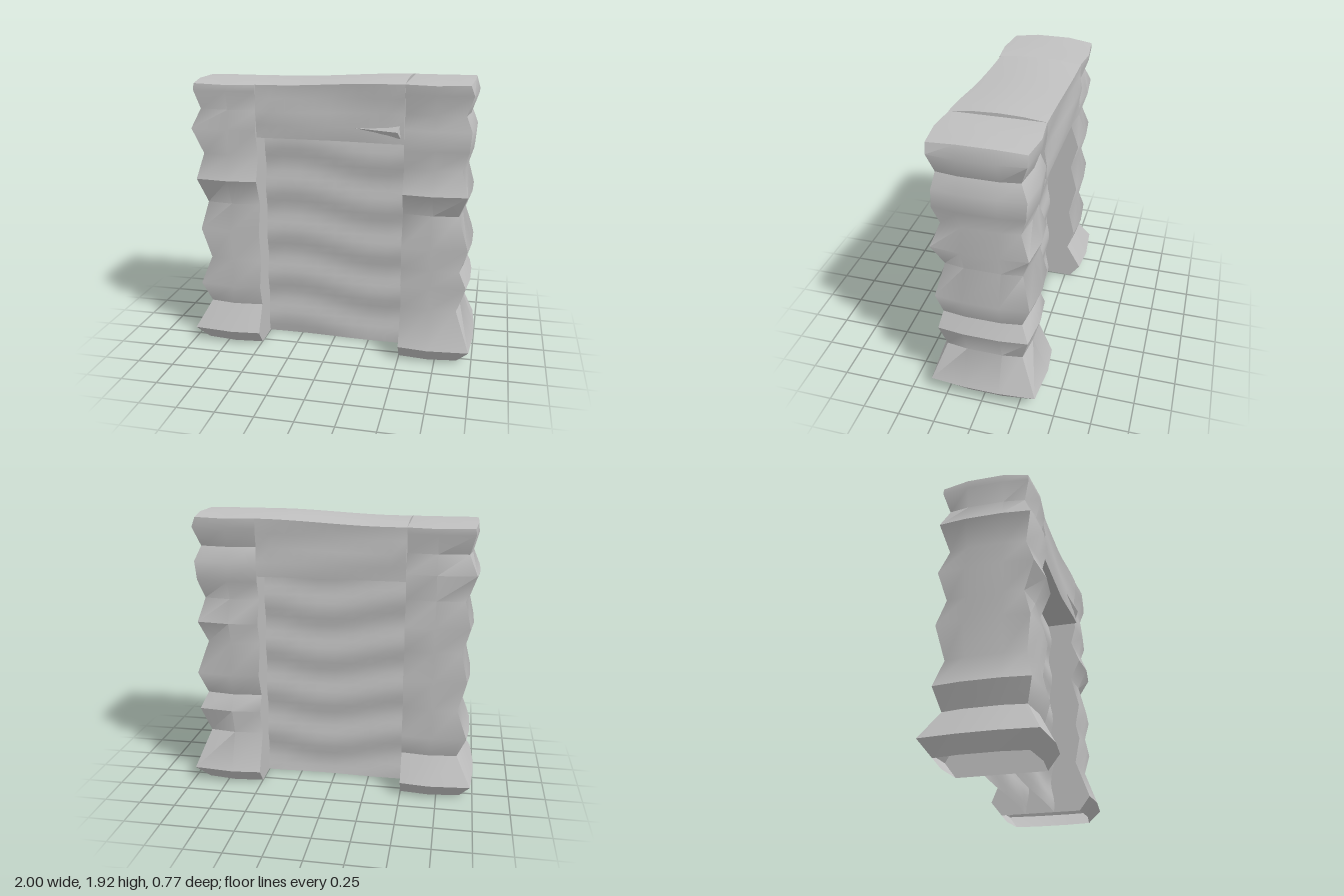
import * as THREE from 'three';
import { toCreasedNormals } from 'three/addons/utils/BufferGeometryUtils.js';

const CREASE = 0.7;

// gently sloping, crowned top of the wall
const topY = (x, z) =>
  1.883 + 0.035 * THREE.MathUtils.smoothstep(x, -0.4, 0.5) - 0.022 * (z / 0.3) ** 2;

// each level: height, outer x, front z, back z
const LEFT_LEVELS = [
  [0, 0.92, 0.31, -0.31], [0.1, 1, 0.385, -0.39], [0.36, 0.9, 0.29, -0.28],
  [0.54, 0.96, 0.325, -0.33], [0.65, 0.91, 0.3, -0.28], [0.81, 0.96, 0.33, -0.34],
  [1.03, 0.89, 0.275, -0.28], [1.18, 0.945, 0.345, -0.33], [1.34, 0.9, 0.285, -0.27],
  [1.47, 0.94, 0.32, -0.31], [1.6, 0.95, 0.31, -0.32], [1.7, 0.91, 0.29, -0.275],
  [1.83, 0.955, 0.325, -0.32], [1.88, 0.93, 0.33, -0.32],
];
const RIGHT_LEVELS = [
  [0, 0.93, 0.31, -0.31], [0.1, 1, 0.385, -0.385], [0.285, 0.9, 0.29, -0.28],
  [0.43, 0.96, 0.33, -0.325], [0.62, 0.89, 0.285, -0.28], [0.84, 0.945, 0.32, -0.33],
  [1.03, 0.9, 0.27, -0.28], [1.21, 0.95, 0.345, -0.33], [1.38, 0.91, 0.285, -0.27],
  [1.56, 0.975, 0.33, -0.325], [1.69, 0.92, 0.28, -0.275], [1.82, 0.955, 0.315, -0.32],
  [1.88, 0.95, 0.31, -0.32],
];

// rough stone pillar, open underneath, lofted from its levels
function pillarGeometry(levels, side) {
  const pos = [], idx = [], n = 8;
  levels.forEach(([y, x, f, b], i) => {
    const ring = [
      [0.5, f - 0.02], [0.7, f], [x - 0.02, f - 0.025], [x, 0.12],
      [x, -0.12], [x - 0.02, b + 0.025], [0.7, b], [0.5, b + 0.02],
    ].map(([px, pz]) => [px * side, pz]);
    if (side < 0) ring.reverse();
    const last = i === levels.length - 1;
    ring.forEach(([px, pz]) => pos.push(px, last ? topY(px, pz) : y, pz));
  });
  for (let i = 0; i < levels.length - 1; i++) {
    for (let j = 0; j < n; j++) {
      const a = i * n + j, b = i * n + (j + 1) % n;
      idx.push(a, b, b + n, a, b + n, a + n);
    }
  }
  // top cap
  const c = pos.length / 3, base = (levels.length - 1) * n;
  pos.push(0.72 * side, topY(0.72 * side, 0), 0);
  for (let j = 0; j < n; j++) idx.push(base + j, base + (j + 1) % n, c);
  const g = new THREE.BufferGeometry();
  g.setAttribute('position', new THREE.Float32BufferAttribute(pos, 3));
  g.setIndex(idx);
  return toCreasedNormals(g, CREASE);
}

// move every vertex of a geometry by a rule
function reshape(g, rule) {
  const p = g.attributes.position, v = new THREE.Vector3();
  for (let i = 0; i < p.count; i++) {
    v.fromBufferAttribute(p, i);
    rule(v);
    p.setXYZ(i, v.x, v.y, v.z);
  }
  g.deleteAttribute('uv');
  return toCreasedNormals(g, CREASE);
}

// beam between the pillars, with slightly uneven faces
function lintelGeometry() {
  return reshape(new THREE.BoxGeometry(1, 1, 1, 10, 4, 4), (v) => {
    const t = v.y + 0.5;
    const front = 0.283 + 0.03 * THREE.MathUtils.smoothstep(v.x, 0, 0.5);
    const half = v.z > 0 ? front : 0.302;
    const wave = 1 + 0.05 * Math.sin(t * Math.PI * 2 + v.x * 3) * Math.sin(t * Math.PI);
    v.z *= 2 * half * wave;
    v.y = THREE.MathUtils.lerp(1.51, topY(v.x, v.z), t);
  });
}

// recessed wall face with shallow horizontal ripples
function panelGeometry(phase) {
  return reshape(new THREE.PlaneGeometry(1, 1.51, 8, 28), (v) => {
    v.y += 0.755;
    v.z = 0.095 + 0.012 * Math.sin(v.y * 19 + phase + Math.sin(v.x * 5 + phase));
  });
}

// low chipped wedge with a shadowed underside
function chipGeometry(points) {
  const g = new THREE.BufferGeometry();
  g.setAttribute('position', new THREE.Float32BufferAttribute(points.flat(), 3));
  g.setIndex([0, 2, 1, 0, 1, 3, 1, 2, 3]);
  return toCreasedNormals(g, 0.3);
}

export function createModel() {
  const group = new THREE.Group();
  const stone = new THREE.MeshStandardMaterial({ color: 0xc0c0c0, side: THREE.DoubleSide });
  stone.name = 'grey stone';
  const add = (name, geometry) => {
    const m = new THREE.Mesh(geometry, stone);
    m.name = name;
    group.add(m);
    return m;
  };

  add('leftPillar', pillarGeometry(LEFT_LEVELS, 1));
  add('rightPillar', pillarGeometry(RIGHT_LEVELS, -1));
  add('lintel', lintelGeometry());
  add('frontPanel', panelGeometry(0));
  add('backPanel', panelGeometry(2)).rotation.y = Math.PI;

  // chipped edge beneath the lintel's left end
  add('lintelChip', chipGeometry([
    [0.05, 1.61, 0.285], [0.46, 1.59, 0.335], [0.49, 1.52, 0.3], [0.48, 1.66, 0.29],
  ]));
  return group;
}
